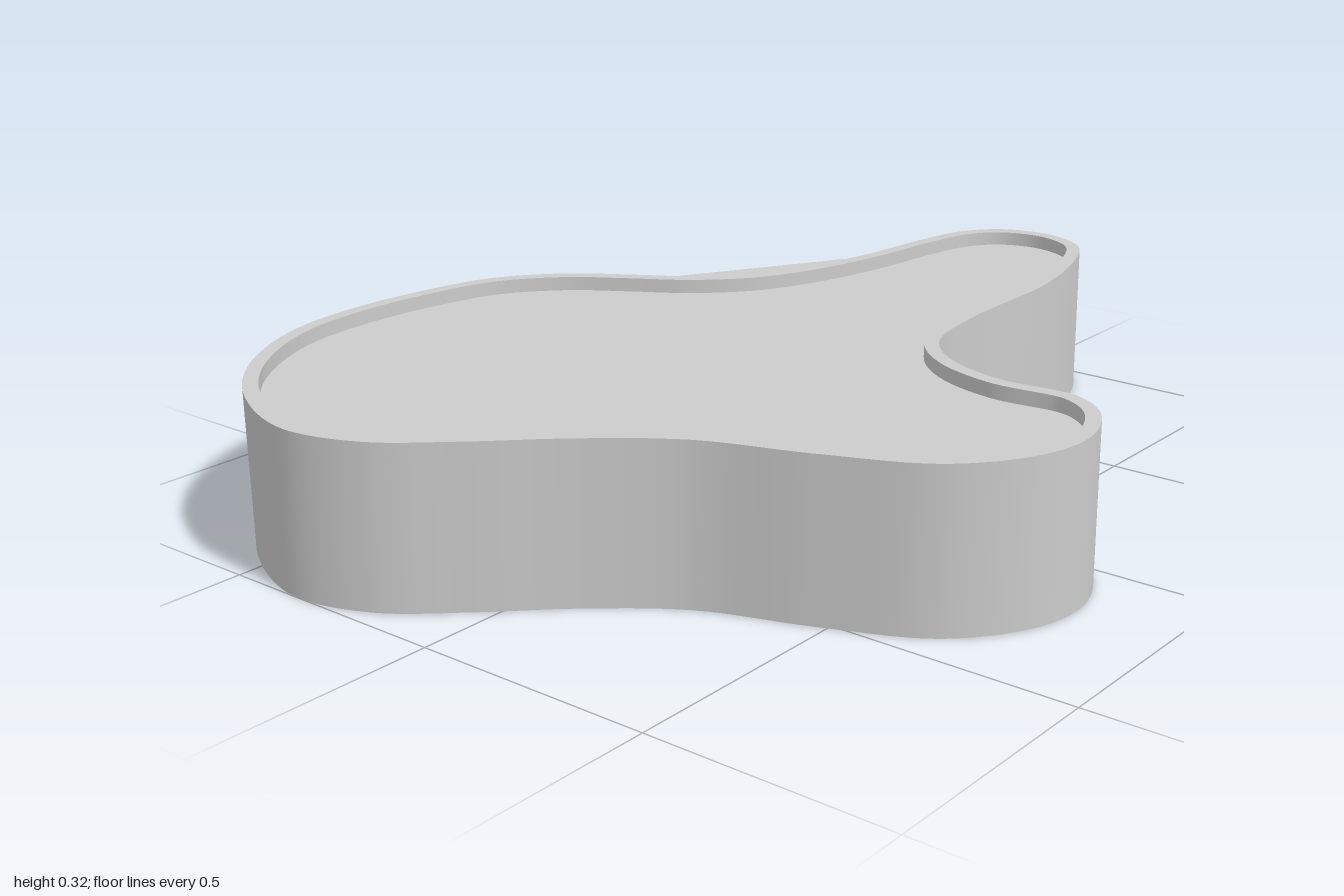
import * as THREE from 'three';

const HEIGHT = 0.325, RIM = 0.03, WATER = 0.295, STEPS = 8;

// Outline in (x, z), counter-clockwise from above
const body = [
  [-0.065, -0.738], [-0.16, -0.775], [-0.41, -0.81], [-0.61, -0.785], [-0.80, -0.68], [-0.93, -0.53],
  [-1, -0.34], [-0.96, -0.18], [-0.85, -0.04], [-0.72, 0.10], [-0.60, 0.265], [-0.52, 0.48],
  [-0.425, 0.68], [-0.29, 0.785], [-0.16, 0.807], [-0.035, 0.755], [0.02, 0.67], [0.013, 0.51],
  [0.055, 0.375], [0.145, 0.285], [0.32, 0.25], [0.62, 0.24], [0.83, 0.19], [0.955, 0.125],
  [1, 0.02], [0.975, -0.09], [0.9, -0.157],
];
// Hollow at the back, bridged by the floor and the water surface
const hollow = [
  [0.77, -0.19], [0.6, -0.212], [0.43, -0.255], [0.3, -0.315], [0.2, -0.41], [0.13, -0.52], [0.05, -0.64],
];

// Closed strip between two loops, smooth along its length
function strip(a, ya, b, yb, material) {
  const n = a.length, pos = [], index = [];
  for (let i = 0; i < n; i++) {
    pos.push(a[i].x, ya, a[i].y, b[i].x, yb, b[i].y);
    const p = 2 * i, q = 2 * ((i + 1) % n);
    index.push(p, q, q + 1, p, q + 1, p + 1);
  }
  const geo = new THREE.BufferGeometry();
  geo.setAttribute('position', new THREE.Float32BufferAttribute(pos, 3));
  geo.setIndex(index);
  geo.computeVertexNormals();
  return new THREE.Mesh(geo, material);
}

// Flat horizontal sheet inside a loop
function sheet(loop, y, material) {
  const geo = new THREE.ShapeGeometry(new THREE.Shape(loop.map(p => new THREE.Vector2(p.x, -p.y))));
  geo.rotateX(-Math.PI / 2).translate(0, y, 0);
  return new THREE.Mesh(geo, material);
}

export function createModel() {
  const group = new THREE.Group();
  const grey = new THREE.MeshStandardMaterial({ color: 0xcccccc });
  const thin = new THREE.MeshStandardMaterial({ color: 0xcccccc, side: THREE.DoubleSide });

  // Smooth outer loop, and an inner loop set in by the rim width
  const control = [...body, ...hollow].map(([x, z]) => new THREE.Vector3(x, 0, z));
  const curve = new THREE.CatmullRomCurve3(control, true, 'centripetal');
  const outer = curve.getPoints(control.length * STEPS).slice(0, -1).map(p => new THREE.Vector2(p.x, p.z));
  const inner = outer.map((p, i) => {
    const n = outer.length;
    const t = outer[(i + 1) % n].clone().sub(outer[(i + n - 1) % n]).normalize();
    return new THREE.Vector2(p.x + t.y * RIM, p.y - t.x * RIM);
  });
  const bridged = loop => loop.slice(0, (body.length - 1) * STEPS + 1);

  const add = (name, mesh) => { mesh.name = name; group.add(mesh); };
  add('outerWall', strip(outer, 0, outer, HEIGHT, grey));
  add('rim', strip(outer, HEIGHT, inner, HEIGHT, grey));
  add('innerWall', strip(inner, HEIGHT, inner, WATER, grey));
  add('waterSurface', sheet(bridged(inner), WATER, thin));
  add('floor', sheet(bridged(outer), 0, thin));
  return group;
}
